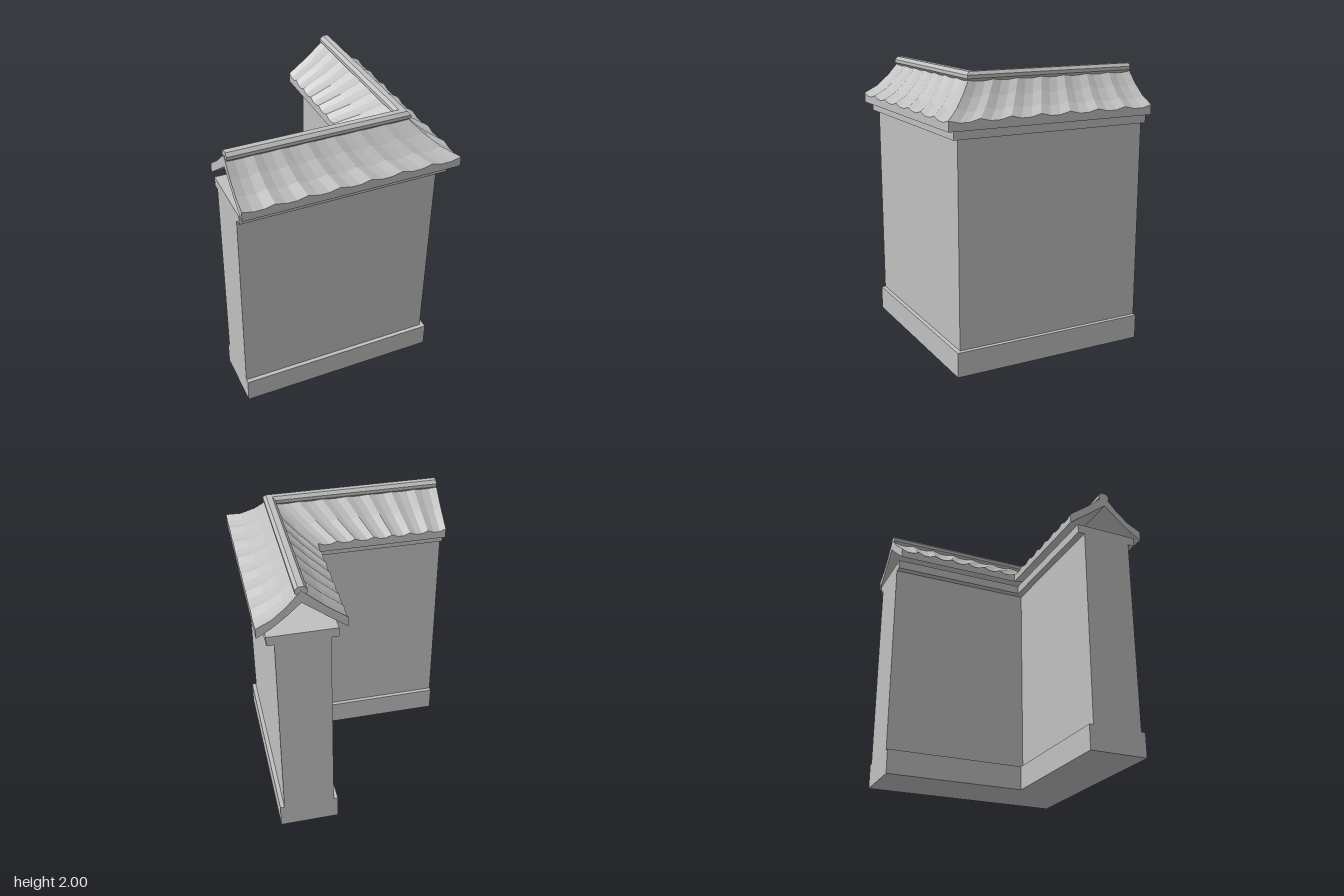
import * as THREE from 'three';

const END = -0.76;   // open ends of both arms
const MID = 0.47;    // centre line of both arms

// L-shaped block in plan, between two heights
function cornerBlock(name, half, y0, y1, material) {
  const o = MID + half, i = MID - half;
  const plan = [[END, o], [o, o], [o, END], [i, END], [i, i], [END, i]];
  const shape = new THREE.Shape(plan.map(([x, z]) => new THREE.Vector2(x, -z)));
  const geo = new THREE.ExtrudeGeometry(shape, { depth: y1 - y0, bevelEnabled: false });
  geo.rotateX(-Math.PI / 2).translate(0, y0, 0);
  const mesh = new THREE.Mesh(geo, material);
  mesh.name = name;
  return mesh;
}

// Sweep a ring round the mitred corner. The ring is a row of top points
// followed by the same number of bottom points in reverse: [offset, y].
function cornerSweep(name, top, bottom, end, steps, wave, material) {
  const ring = [...top, ...bottom.slice().reverse()];
  const n = ring.length;
  const point = (s, j) => {
    const [d, y] = ring[j];
    const u = s <= steps ? s / steps : 2 - s / steps;
    const along = THREE.MathUtils.lerp(end, MID + d, u);
    const across = MID + d;
    const h = y - (j < top.length && s % 3 !== 0 ? wave : 0);
    return s <= steps ? [along, h, across] : [across, h, along];
  };
  const pos = [];
  const quad = (a, b, c, d) => pos.push(...a, ...b, ...c, ...a, ...c, ...d);
  for (let s = 0; s < steps * 2; s++) {
    for (let j = 0; j < n; j++) {
      const k = (j + 1) % n;
      quad(point(s, j), point(s, k), point(s + 1, k), point(s + 1, j));
    }
  }
  // end faces
  const last = steps * 2;
  for (let j = 0; j < top.length - 1; j++) {
    const q = [j, j + 1, n - 2 - j, n - 1 - j];
    quad(...q.map((k) => point(last, k)));
    quad(...q.reverse().map((k) => point(0, k)));
  }
  const geo = new THREE.BufferGeometry();
  geo.setAttribute('position', new THREE.Float32BufferAttribute(pos, 3));
  geo.computeVertexNormals();
  const mesh = new THREE.Mesh(geo, material);
  mesh.name = name;
  return mesh;
}

export function createModel() {
  const group = new THREE.Group();
  group.name = 'wallCorner';
  const grey = new THREE.MeshStandardMaterial({ color: 0xc0c0c0 });
  grey.name = 'stoneGrey';

  // Masonry
  group.add(
    cornerBlock('plinth', 0.21, 0, 0.175, grey),
    cornerBlock('wall', 0.18, 0.175, 1.605, grey),
    cornerBlock('cornice', 0.23, 1.605, 1.67, grey),
  );

  // Tiled slopes: seven scallops per arm, three steps each
  const steps = 21, wave = 0.018;
  group.add(cornerSweep('outerRoof',
    [[0, 1.975], [0.1, 1.865], [0.19, 1.79], [0.29, 1.74]],
    [[0, 1.89], [0.1, 1.8], [0.19, 1.73], [0.29, 1.67]],
    END, steps, wave, grey));
  group.add(cornerSweep('innerRoof',
    [[-0.29, 1.74], [-0.15, 1.843], [0, 1.975]],
    [[-0.29, 1.67], [-0.15, 1.775], [0, 1.89]],
    END, steps, wave, grey));

  // Ridge cap
  group.add(cornerSweep('ridgeCap',
    [[-0.04, 1.978], [-0.02, 2], [0.02, 2], [0.04, 1.978]],
    [[-0.04, 1.955], [-0.02, 1.935], [0.02, 1.935], [0.04, 1.955]],
    END + 0.005, 1, 0, grey));

  return group;
}
